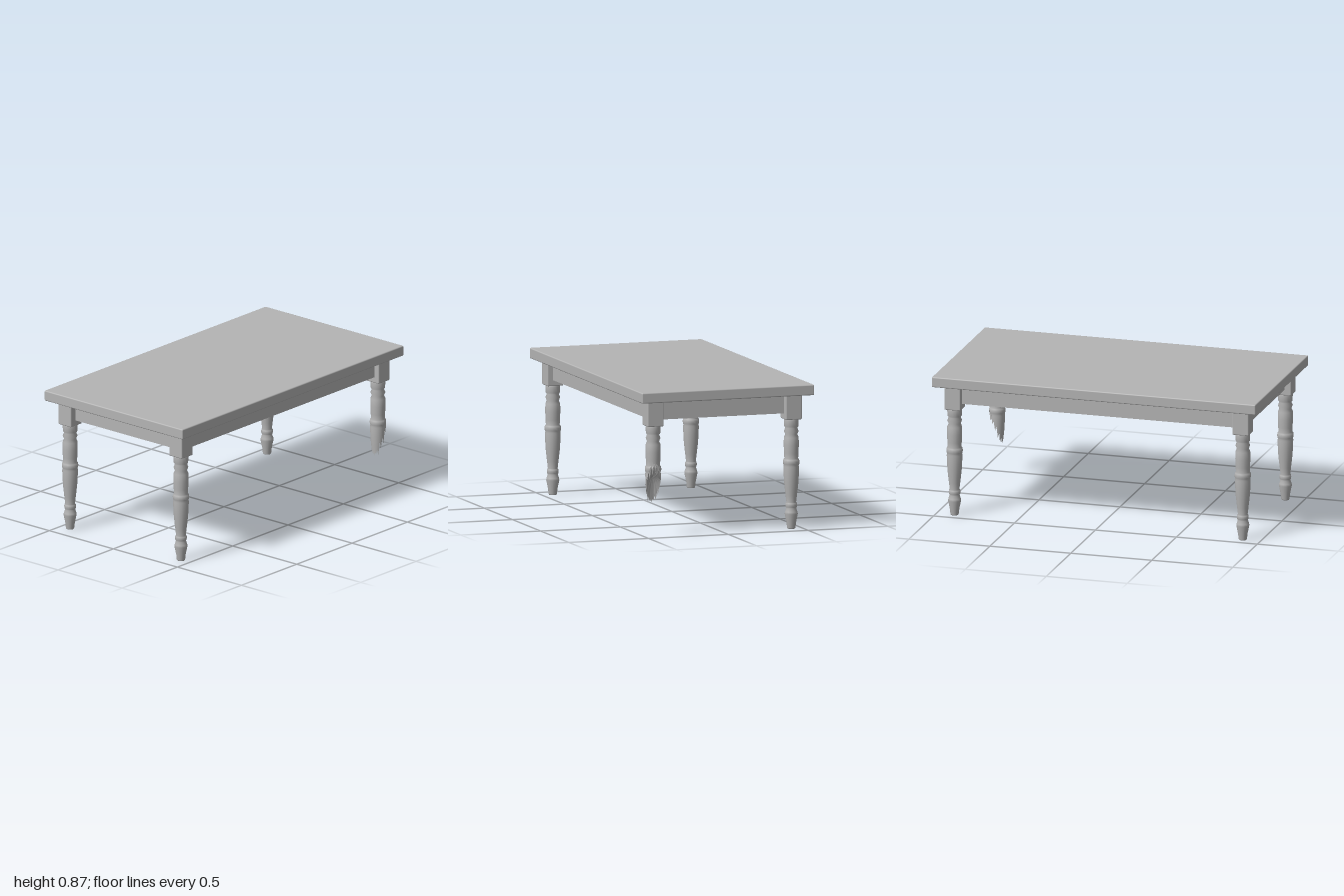
import * as THREE from 'three';
import { RoundedBoxGeometry } from 'three/addons/geometries/RoundedBoxGeometry.js';

const LEG_X = 0.89, LEG_Z = 0.433, TAU = Math.PI * 2;

// turned leg profile, foot to collar: [radius, height]
const PROFILE = [
  [0.022, 0], [0.025, 0.005], [0.028, 0.035], [0.039, 0.088], [0.037, 0.1], [0.03, 0.122],
  [0.034, 0.13], [0.035, 0.142], [0.034, 0.152], [0.029, 0.158], [0.034, 0.2], [0.042, 0.27],
  [0.045, 0.32], [0.047, 0.37], [0.044, 0.378], [0.048, 0.386], [0.049, 0.4], [0.047, 0.412],
  [0.041, 0.42], [0.043, 0.45], [0.045, 0.5], [0.044, 0.545], [0.036, 0.563], [0.044, 0.582],
  [0.036, 0.602], [0.043, 0.612], [0.044, 0.648], [0.041, 0.657],
];

// leg radius at a given height
function radiusAt(y) {
  for (let i = 1; i < PROFILE.length; i++) {
    const [r0, y0] = PROFILE[i - 1], [r1, y1] = PROFILE[i];
    if (y <= y1) return r0 + (r1 - r0) * Math.max(0, (y - y0) / (y1 - y0));
  }
  return PROFILE[PROFILE.length - 1][0];
}

const SPLINTERS = 32;

// small repeatable noise
const noise = (n) => {
  const s = Math.sin(n * 91.7 + 3.1) * 4375.85;
  return s - Math.floor(s);
};

// height of the splintered rim: high outside, low inside
function breakHeight(column) {
  const c = ((column % SPLINTERS) + SPLINTERS) % SPLINTERS;
  const outward = Math.sin((c / SPLINTERS) * TAU);
  const tooth = (c % 2 ? 0.026 : -0.026) * (0.4 + noise(c));
  return 0.305 + 0.1 * outward + tooth * (outward < -0.8 ? 0.4 : 1);
}

// apply a rule(column, row) -> [radius, y] to every vertex of a lathe
function reshape(geometry, rows, rule) {
  const pos = geometry.attributes.position;
  for (let i = 0; i < pos.count; i++) {
    const column = Math.floor(i / rows), row = i % rows;
    const [r, y] = rule(column, row);
    const a = (column / SPLINTERS) * TAU;
    pos.setXYZ(i, r * Math.sin(a), y, r * Math.cos(a));
  }
  geometry.computeVertexNormals();
  return geometry;
}

function brokenLegParts() {
  // outer shell, cut off along the jagged rim
  const pts = PROFILE.filter((p) => p[1] > 0.15).map(([r, y]) => new THREE.Vector2(r, y));
  const shell = reshape(new THREE.LatheGeometry(pts, SPLINTERS), pts.length, (c, row) => {
    const y = Math.max(pts[row].y, breakHeight(c));
    return [radiusAt(y), y];
  });
  // hollowed fracture face, centre to rim
  const steps = [0, 0.3, 0.6, 0.85, 1];
  const capPts = steps.map((s) => new THREE.Vector2(s * 0.04, 0.3));
  const face = reshape(new THREE.LatheGeometry(capPts, SPLINTERS), steps.length, (c, row) => {
    const s = steps[row], rim = breakHeight(c);
    return [radiusAt(rim) * s, 0.35 + (rim - 0.35) * s * s];
  });
  return { shell, face };
}

export function createModel() {
  const model = new THREE.Group();
  const wood = new THREE.MeshStandardMaterial({ color: 0xb4b4b4 });

  const add = (name, geometry, x, y, z) => {
    const mesh = new THREE.Mesh(geometry, wood);
    mesh.name = name;
    mesh.position.set(x, y, z);
    model.add(mesh);
  };

  add('tabletop', new RoundedBoxGeometry(2, 0.063, 1.08, 2, 0.007), 0, 0.8365, 0);

  // aprons run between the corner blocks
  for (const s of [-1, 1]) {
    add('longApron', new THREE.BoxGeometry(1.7, 0.117, 0.03), 0, 0.749, s * LEG_Z);
    add('shortApron', new THREE.BoxGeometry(0.03, 0.117, 0.78), s * 0.885, 0.749, 0);
  }

  // corner blocks and turned legs
  const block = new RoundedBoxGeometry(0.1, 0.15, 0.1, 2, 0.006);
  const legPoints = [[0, 0], ...PROFILE].map(([r, y]) => new THREE.Vector2(r, y));
  const leg = new THREE.LatheGeometry(legPoints, 16);
  const broken = brokenLegParts();
  for (const sx of [-1, 1]) {
    for (const sz of [-1, 1]) {
      const x = sx * LEG_X, z = sz * LEG_Z;
      add('cornerBlock', block, x, 0.73, z);
      if (sx > 0 && sz > 0) {
        add('brokenLeg', broken.shell, x, 0, z);
        add('brokenLegFracture', broken.face, x, 0, z);
      } else {
        add('turnedLeg', leg, x, 0, z);
      }
    }
  }
  return model;
}
